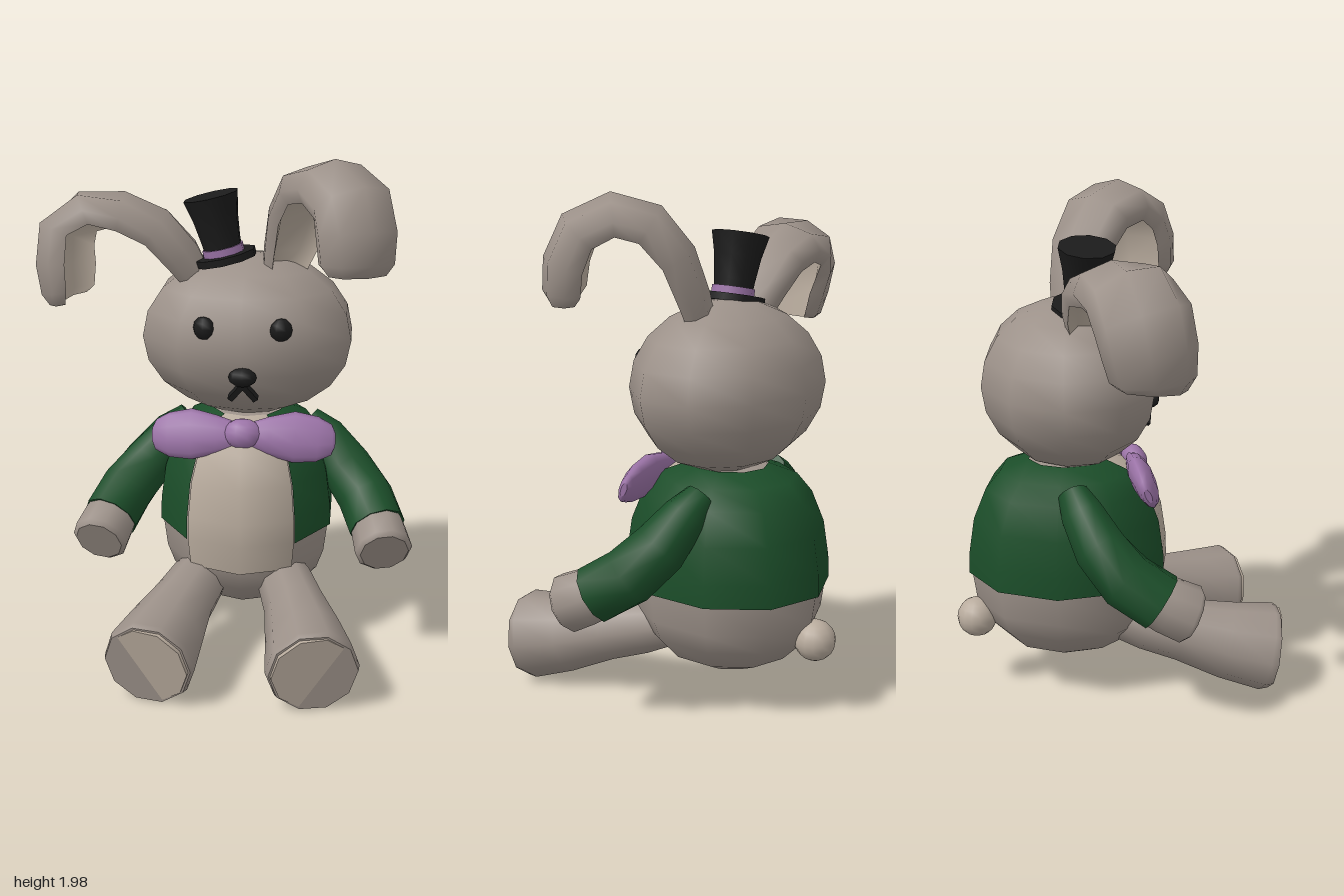
import * as THREE from 'three';

const AXIS = 0.07; // x of the toy's own centre line
const V = (x, y, z) => new THREE.Vector3(x, y, z);
const P = (x, y) => new THREE.Vector2(x, y);
const mat = (color) => new THREE.MeshStandardMaterial({ color, side: THREE.DoubleSide });
const fur = mat(0x9c9189), pale = mat(0xb8ab9d), green = mat(0x1b4d29);
const purple = mat(0x9c74a8), black = mat(0x1b1b1b);

function add(parent, name, geometry, material, x = 0, y = 0, z = 0) {
  const m = new THREE.Mesh(geometry, material);
  m.name = name;
  m.position.set(x, y, z);
  parent.add(m);
  return m;
}

const ring = (n) => Array.from({ length: n }, (_, i) =>
  P(Math.cos((i / n) * Math.PI * 2), Math.sin((i / n) * Math.PI * 2)));

// Sweep a section along stations [x, y, z, halfWidth, halfThickness]
function loft(stations, section, wide, { open = false, caps = !open } = {}) {
  const pts = stations.map((s) => V(s[0], s[1], s[2]));
  const n = section.length, last = pts.length - 1, pos = [], idx = [];
  const frames = pts.map((p, i) => {
    const t = pts[Math.min(i + 1, last)].clone().sub(pts[Math.max(i - 1, 0)]).normalize();
    const w = wide.clone().addScaledVector(t, -wide.dot(t)).normalize();
    return { p, w, n: t.clone().cross(w) };
  });
  const pushRing = (i) => section.forEach((s) => {
    const f = frames[i], [, , , a, b = a] = stations[i];
    const q = f.p.clone().addScaledVector(f.w, s.x * a).addScaledVector(f.n, s.y * b);
    pos.push(q.x, q.y, q.z);
  });
  pts.forEach((_, i) => pushRing(i));
  for (let i = 0; i < last; i++) {
    for (let j = 0; j < (open ? n - 1 : n); j++) {
      const k = (j + 1) % n, a = i * n + j, b = i * n + k;
      idx.push(a, b, b + n, a, b + n, a + n);
    }
  }
  if (caps) {
    const tris = THREE.ShapeUtils.triangulateShape(section, []);
    for (const end of [0, last]) {
      const o = pos.length / 3;
      pushRing(end);
      tris.forEach(([a, b, c]) => idx.push(o + a, o + (end ? b : c), o + (end ? c : b)));
    }
  }
  const g = new THREE.BufferGeometry();
  g.setAttribute('position', new THREE.Float32BufferAttribute(pos, 3));
  g.setIndex(idx);
  g.computeVertexNormals();
  return g;
}

// Ten-sided turned shape; sector counted in tenths from the front
function turned(profile, from, count, squash, grow = 0) {
  const step = Math.PI / 5;
  const pts = profile.map(([r, y]) => P(r + (r > 0 ? grow : 0), y));
  return new THREE.LatheGeometry(pts, count, from * step, count * step).scale(squash, 1, 1);
}

function addBody(g) {
  const low = [[0, 0.15], [0.14, 0.165], [0.26, 0.22], [0.35, 0.31]];
  const mid = [[0.383, 0.39], [0.4, 0.51]];
  const high = [[0.397, 0.6], [0.375, 0.74], [0.325, 0.86], [0.265, 0.93], [0.15, 0.97]];
  add(g, 'body', turned([...low, ...mid, ...high, [0, 0.98]], 0, 10, 0.88), fur, AXIS, 0, -0.17);
  add(g, 'belly', turned([...mid, ...high], -1, 2, 0.88, 0.005), pale, AXIS, 0, -0.17);
  add(g, 'jacket', turned([mid[1], ...high], 1, 8, 0.88, 0.012), green, AXIS, 0, -0.17);
  add(g, 'tail', new THREE.SphereGeometry(0.08, 14, 10), pale, 0.05, 0.325, -0.56);
}

function addHead(g) {
  const profile = Array.from({ length: 11 }, (_, i) => {
    const a = (i / 10) * Math.PI;
    return [0.342 * Math.sin(a), -0.325 * Math.cos(a)];
  });
  profile[0][0] = profile[10][0] = 0;
  add(g, 'head', turned(profile, 0, 10, 1.26), fur, AXIS, 1.275, -0.17);
  for (const s of [-1, 1]) {
    const eye = add(g, 'eye', new THREE.SphereGeometry(0.045, 7, 6), black, AXIS + s * 0.147, 1.36, 0.12);
    eye.scale.z = 0.7;
    eye.rotation.y = s * 0.35;
    const lip = add(g, 'mouth', new THREE.BoxGeometry(0.022, 0.085, 0.03), black, AXIS + 0.005 + s * 0.024, 1.122, 0.142);
    lip.rotation.set(0.3, 0, s * 0.65);
  }
  const nose = add(g, 'nose', new THREE.SphereGeometry(0.055, 8, 6), black, AXIS + 0.005, 1.182, 0.162);
  nose.scale.set(1, 0.68, 0.68);
}

function addLimbs(g) {
  const round = ring(10), side = V(1, 0, 0);
  for (const s of [-1, 1]) {
    const at = (list) => list.map(([d, ...rest]) => [AXIS + s * d, ...rest]);
    add(g, 'sleeve', loft(at([
      [0.24, 0.9, -0.21, 0.06], [0.31, 0.84, -0.19, 0.085], [0.4, 0.73, -0.14, 0.105],
      [0.485, 0.63, -0.06, 0.113], [0.535, 0.55, 0.06, 0.113]]), round, side), green);
    add(g, 'hand', loft(at([
      [0.52, 0.57, 0.02, 0.1], [0.54, 0.54, 0.08, 0.108], [0.56, 0.5, 0.165, 0.113],
      [0.563, 0.493, 0.18, 0.095]]), round, side), fur);
    add(g, 'leg', loft(at([
      [0.13, 0.33, -0.03, 0.09], [0.18, 0.3, 0.1, 0.115], [0.225, 0.265, 0.24, 0.125],
      [0.27, 0.22, 0.41, 0.155], [0.304, 0.188, 0.57, 0.178], [0.309, 0.184, 0.597, 0.168]]), round, side), fur);
    add(g, 'sole', loft(at([
      [0.306, 0.186, 0.585, 0.16], [0.31, 0.183, 0.6, 0.16]]), round, side), pale);
  }
}

function addEar(g, name, stations, wide) {
  const back = [P(0.85, -1), P(1, -0.3), P(0.75, 0.6), P(0, 1), P(-0.75, 0.6), P(-1, -0.3), P(-0.85, -1)];
  const hollow = [P(-0.85, -1), P(-0.5, -0.1), P(0.5, -0.1), P(0.85, -1)];
  const ear = new THREE.Group();
  ear.name = name;
  add(ear, 'earBack', loft(stations, back, wide, { open: true }), fur);
  add(ear, 'earInner', loft(stations, hollow, wide, { open: true }), pale);
  // solid tip closes the dished section
  const tip = stations.slice(-2), [a, b] = tip;
  const near = b.map((v, i) => v + (a[i] - v) * 0.05);
  add(ear, 'earTip', loft([near, b], [...back, hollow[1], hollow[2]], wide), fur);
  g.add(ear);
}

function addBow(g) {
  const bow = new THREE.Group();
  bow.name = 'bowTie';
  bow.position.set(AXIS, 0.925, 0.085);
  bow.rotation.x = -0.4;
  const up = V(0, 1, 0), round = ring(10);
  for (const s of [-1, 1]) {
    add(bow, 'bowWing', loft([
      [s * 0.04, 0, 0, 0.055, 0.03], [s * 0.1, 0, 0, 0.075, 0.042], [s * 0.2, 0, -0.01, 0.1, 0.048],
      [s * 0.29, -0.005, -0.02, 0.088, 0.04], [s * 0.345, -0.005, -0.03, 0.06, 0.025],
      [s * 0.358, -0.005, -0.033, 0.03, 0.012]], round, up), purple);
  }
  const knot = add(bow, 'bowKnot', new THREE.SphereGeometry(0.07, 10, 8), purple, 0, 0.005, 0.015);
  knot.scale.set(1.1, 0.85, 0.7);
  g.add(bow);
}

function addHat(g) {
  const hat = new THREE.Group();
  hat.name = 'topHat';
  hat.position.set(-0.02, 1.585, -0.125);
  hat.rotation.z = 0.23;
  add(hat, 'brim', new THREE.CylinderGeometry(0.125, 0.125, 0.028, 10), black);
  add(hat, 'band', new THREE.CylinderGeometry(0.082, 0.082, 0.03, 10), purple, 0, 0.028, 0);
  add(hat, 'crown', new THREE.LatheGeometry(
    [P(0.072, 0), P(0.078, 0.07), P(0.09, 0.16), P(0.11, 0.245), P(0.11, 0.245), P(0, 0.245)], 10), black);
  g.add(hat);
}

export function createModel() {
  const g = new THREE.Group();
  g.name = 'plushRabbit';
  addBody(g);
  addHead(g);
  addLimbs(g);
  addEar(g, 'rightEar', [
    [-0.12, 1.5, -0.13, 0.08, 0.05], [-0.18, 1.6, -0.125, 0.12, 0.06], [-0.28, 1.71, -0.12, 0.15, 0.066],
    [-0.42, 1.765, -0.11, 0.155, 0.072], [-0.56, 1.765, -0.095, 0.16, 0.075],
    [-0.645, 1.68, -0.07, 0.17, 0.08], [-0.65, 1.56, -0.045, 0.165, 0.08],
    [-0.64, 1.46, -0.03, 0.15, 0.07], [-0.635, 1.425, -0.03, 0.12, 0.045]], V(-0.25, 0.15, 1));
  addEar(g, 'leftEar', [
    [0.19, 1.5, -0.14, 0.08, 0.05], [0.22, 1.62, -0.12, 0.11, 0.06], [0.26, 1.77, -0.08, 0.14, 0.066],
    [0.32, 1.89, 0.0, 0.155, 0.072], [0.4, 1.925, 0.11, 0.16, 0.075],
    [0.48, 1.865, 0.205, 0.165, 0.08], [0.505, 1.75, 0.25, 0.165, 0.08],
    [0.507, 1.645, 0.26, 0.155, 0.075], [0.505, 1.605, 0.26, 0.125, 0.05]], V(0.82, 0, -0.57));
  addBow(g);
  addHat(g);
  return g;
}
